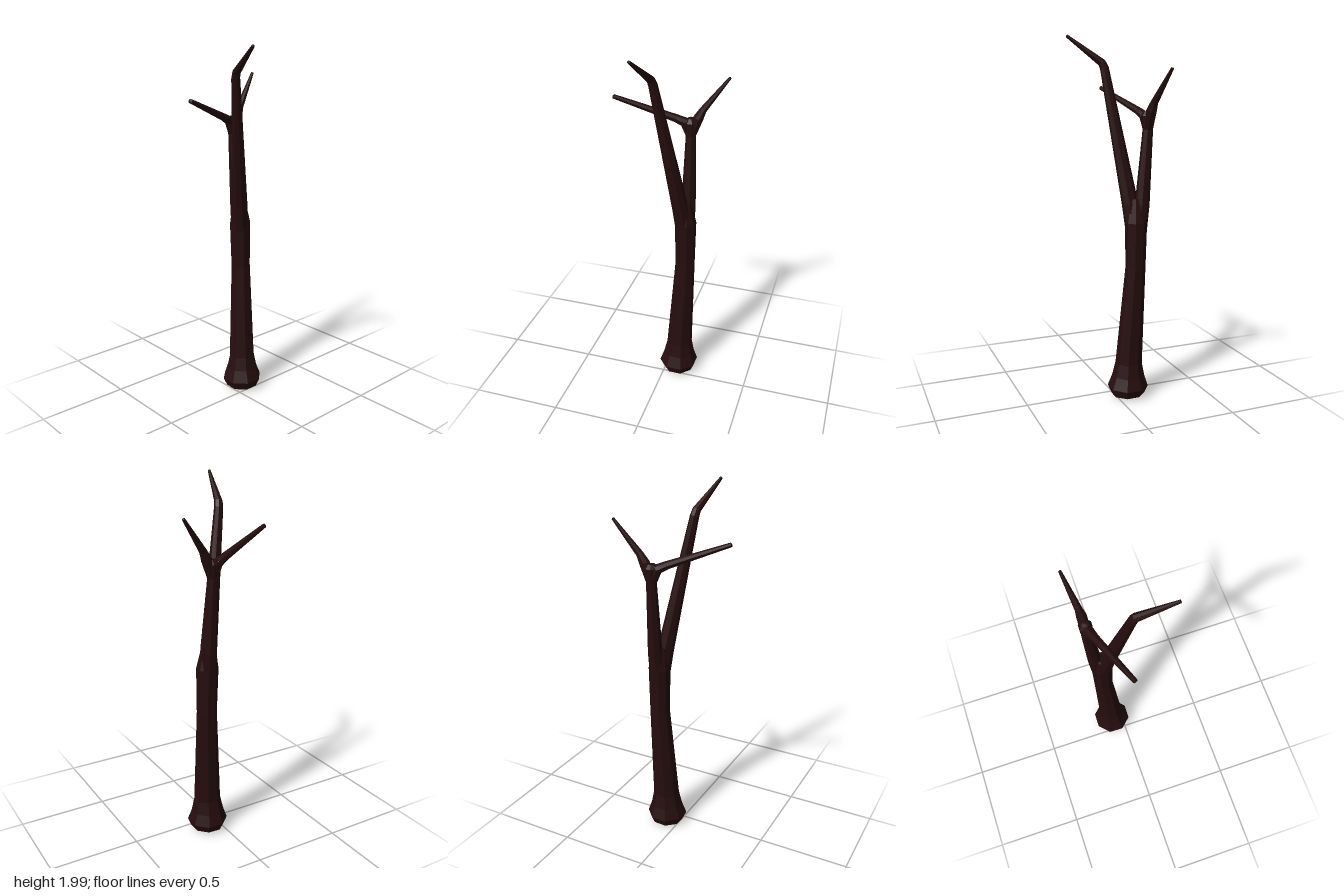
import * as THREE from 'three';

const SIDES = 8;
const UP = new THREE.Vector3(0, 1, 0);

// Faceted limb lofted through stations [x, y, z, radius]; ends close on a point.
function limb(name, stations, material) {
  const centers = stations.map(([x, y, z]) => new THREE.Vector3(x, y, z));
  const last = centers.length - 1;
  const positions = [];
  const index = [];
  centers.forEach((c, i) => {
    const tangent = new THREE.Vector3();
    if (i > 0) tangent.add(c.clone().sub(centers[i - 1]).normalize());
    if (i < last) tangent.add(centers[i + 1].clone().sub(c).normalize());
    const turn = new THREE.Quaternion().setFromUnitVectors(UP, tangent.normalize());
    for (let k = 0; k < SIDES; k++) {
      const a = (k / SIDES) * Math.PI * 2 + 0.42;
      const r = stations[i][3];
      const p = new THREE.Vector3(Math.cos(a) * r, 0, Math.sin(a) * r).applyQuaternion(turn).add(c);
      positions.push(p.x, p.y, p.z);
    }
  });
  const bottom = positions.length / 3;
  const top = bottom + 1;
  const tipDir = centers[last].clone().sub(centers[last - 1]).normalize();
  const tip = centers[last].clone().addScaledVector(tipDir, 0.004);
  const root = centers[0].clone().add(new THREE.Vector3(0, -0.012, 0));
  positions.push(root.x, root.y, root.z, tip.x, tip.y, tip.z);
  for (let k = 0; k < SIDES; k++) {
    const n = (k + 1) % SIDES;
    for (let i = 0; i < last; i++) {
      const a = i * SIDES + k, b = i * SIDES + n;
      index.push(a, a + SIDES, b, b, a + SIDES, b + SIDES);
    }
    index.push(bottom, k, n);
    index.push(top, last * SIDES + n, last * SIDES + k);
  }
  const geometry = new THREE.BufferGeometry();
  geometry.setAttribute('position', new THREE.Float32BufferAttribute(positions, 3));
  geometry.setIndex(index);
  geometry.computeVertexNormals();
  const mesh = new THREE.Mesh(geometry, material);
  mesh.name = name;
  return mesh;
}

export function createModel() {
  const group = new THREE.Group();
  group.name = 'bareTree';
  const bark = new THREE.MeshStandardMaterial({ color: 0x260d0e, flatShading: true });
  bark.name = 'dark bark';

  // Trunk with a flared foot, narrowing into the main split
  group.add(limb('trunk', [
    [-0.068, 0.014, -0.078, 0.092],
    [-0.067, 0.06, -0.077, 0.113],
    [-0.07, 0.125, -0.078, 0.09],
    [-0.071, 0.2, -0.08, 0.074],
    [-0.101, 0.75, -0.098, 0.055],
    [-0.104, 1.0, -0.096, 0.06],
    [-0.105, 1.13, -0.088, 0.036],
  ], bark));

  // Tall branch with a bent tip
  group.add(limb('tallBranch', [
    [-0.097, 0.92, -0.094, 0.045],
    [-0.079, 1.1, -0.072, 0.045],
    [0.022, 1.82, 0.048, 0.024],
    [0.034, 1.85, 0.054, 0.022],
    [0.212, 1.987, 0.104, 0.008],
  ], bark));

  // Shorter branch up to its fork
  group.add(limb('forkedBranch', [
    [-0.118, 0.92, -0.098, 0.042],
    [-0.137, 1.1, -0.102, 0.04],
    [-0.167, 1.5, -0.1, 0.028],
    [-0.166, 1.575, -0.1, 0.036],
    [-0.166, 1.598, -0.1, 0.02],
  ], bark));

  // Two twigs leaving the fork, one backward and one forward
  group.add(limb('backTwig', [
    [-0.167, 1.5, -0.1, 0.026],
    [-0.17, 1.6, -0.137, 0.028],
    [-0.176, 1.645, -0.16, 0.02],
    [-0.214, 1.818, -0.288, 0.008],
  ], bark));
  group.add(limb('frontTwig', [
    [-0.167, 1.5, -0.1, 0.026],
    [-0.16, 1.575, -0.068, 0.028],
    [-0.146, 1.597, -0.02, 0.022],
    [-0.05, 1.716, 0.288, 0.012],
  ], bark));

  return group;
}
